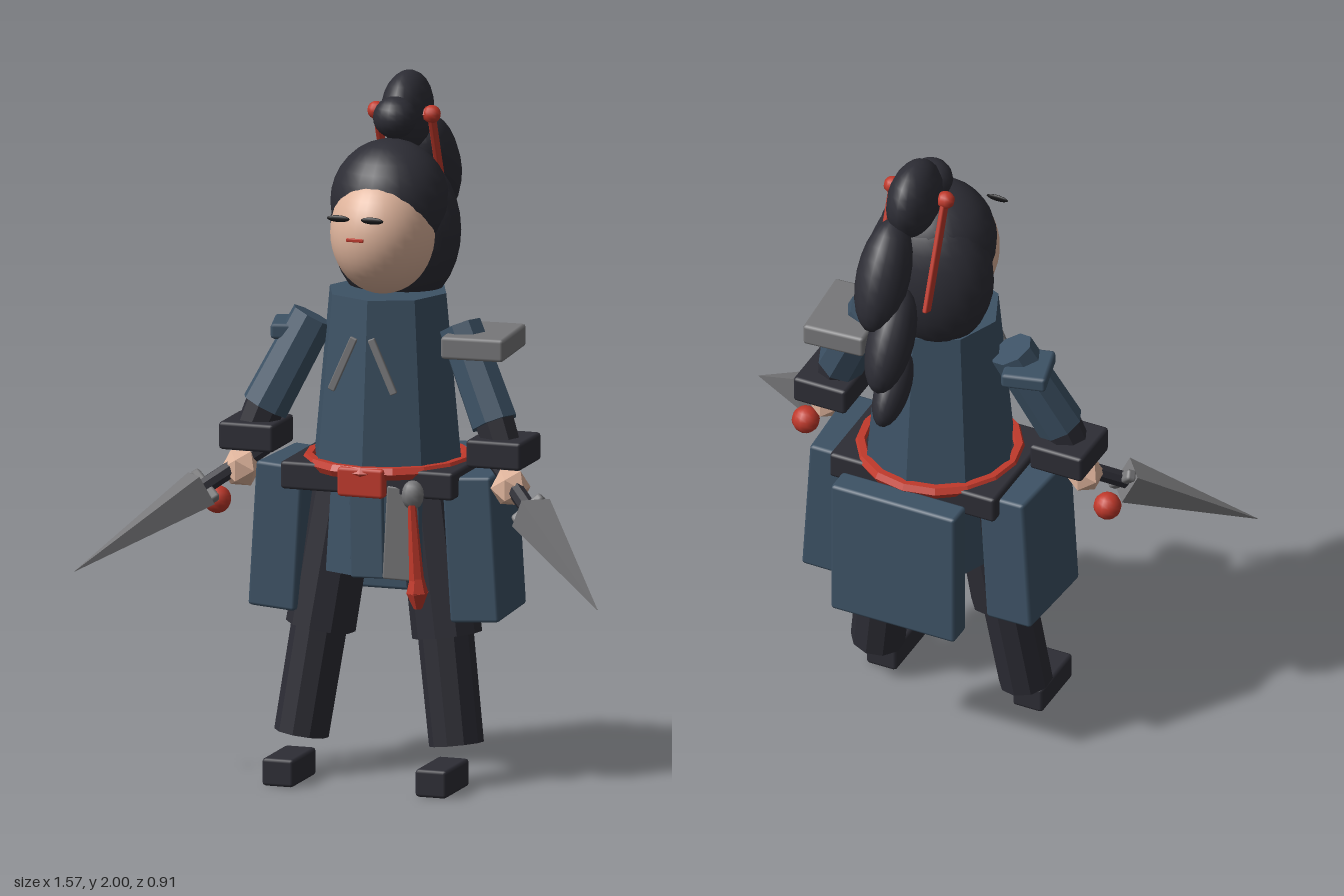
import * as THREE from 'three';
import { RoundedBoxGeometry } from 'three/addons/geometries/RoundedBoxGeometry.js';

const mat = (name, color) => {
  const m = new THREE.MeshStandardMaterial({ color });
  m.name = name;
  return m;
};
const V = (x, y, z) => new THREE.Vector3(x, y, z);
const UP = V(0, 1, 0);

export function createModel() {
  const root = new THREE.Group();
  root.name = 'warrior';
  const dark = mat('charcoal', 0x2d2d35);
  const blue = mat('slateBlue', 0x3d5265);
  const steel = mat('steelGrey', 0x777779);
  const red = mat('red', 0xc0392b);
  const skin = mat('skin', 0xdfb49c);
  const black = mat('eyeBlack', 0x141416);

  const flat = (geo) => {
    const g = geo.index ? geo.toNonIndexed() : geo;
    g.computeVertexNormals();
    return g;
  };
  const add = (name, geo, material, pos, parent = root) => {
    const m = new THREE.Mesh(geo, material);
    m.name = name;
    m.position.copy(pos);
    parent.add(m);
    return m;
  };
  const box = (name, material, size, pos, rot = [0, 0, 0], r = 0.01) => {
    const m = add(name, new RoundedBoxGeometry(...size, 1, Math.min(r, Math.min(...size) * 0.3)), material, pos);
    m.rotation.set(...rot);
    return m;
  };
  const ball = (name, material, radii, pos, w = 20, h = 14) => {
    const m = add(name, new THREE.SphereGeometry(1, w, h), material, pos);
    m.scale.set(...radii);
    return m;
  };
  // Faceted limb from point a to point b
  const limb = (name, material, a, b, ra, rb, sides = 8) => {
    const geo = flat(new THREE.CylinderGeometry(rb, ra, a.distanceTo(b), sides));
    const m = add(name, geo, material, a.clone().add(b).multiplyScalar(0.5));
    m.quaternion.setFromUnitVectors(UP, b.clone().sub(a).normalize());
    return m;
  };

  // Tunic and skirt
  limb('tunic', blue, V(0, 0.9, 0.015), V(0, 1.4, 0.015), 0.222, 0.175);
  limb('skirt', blue, V(0, 0.6, 0), V(0, 0.9, 0), 0.2, 0.18);
  box('skirtFrontPanel', blue, [0.1, 0.26, 0.02], V(0, 0.73, 0.19), [-0.03, 0, 0.03]);
  box('skirtGreyTab', steel, [0.09, 0.27, 0.02], V(0.1, 0.735, 0.19), [0, 0.15, -0.05]);
  box('backPanel', blue, [0.39, 0.43, 0.08], V(0, 0.695, -0.255));
  for (const s of [-1, 1]) {
    box('chestStrip', steel, [0.022, 0.17, 0.012], V(0.005 + s * 0.06, 1.225, 0.245), [0, 0, s * 0.42]);
  }

  // Belt, sash and hanging tassel
  box('belt', dark, [0.52, 0.08, 0.37], V(0, 0.88, 0.015));
  const sash = add('sash', flat(new THREE.TorusGeometry(0.225, 0.02, 6, 16)), red, V(0, 0.912, 0.015));
  sash.rotation.x = Math.PI / 2;
  box('sashKnot', red, [0.14, 0.085, 0.04], V(0, 0.885, 0.235));
  ball('tasselBead', steel, [0.033, 0.042, 0.033], V(0.147, 0.855, 0.22), 10, 8);
  limb('tasselCord', red, V(0.165, 0.6, 0.235), V(0.15, 0.83, 0.235), 0.022, 0.012, 6);
  limb('tasselCollar', red, V(0.166, 0.575, 0.235), V(0.165, 0.62, 0.235), 0.032, 0.02, 6);
  limb('tasselTip', red, V(0.168, 0.53, 0.235), V(0.166, 0.577, 0.235), 0.012, 0.032, 6);

  for (const s of [-1, 1]) {
    const P = (x, y, z) => V(s * x, y, z);
    // Hip guards
    box('hipGuard', blue, [0.145, 0.42, 0.285], P(0.285, 0.69, 0.005), [0, s * 0.06, s * 0.06]);

    // Legs and feet
    limb('thigh', dark, P(0.19, 0.42, 0.05), P(0.13, 0.82, 0.02), 0.1, 0.095, 10);
    limb('shin', dark, P(0.233, 0.115, 0.092), P(0.18, 0.5, 0.055), 0.078, 0.08, 10);
    box('foot', dark, [0.095, 0.08, 0.2], P(0.23, 0.04, 0.205));

    // Arms and hands
    limb('upperArm', blue, P(0.345, 1.05, 0.085), P(0.22, 1.31, 0.025), 0.07, 0.065);
    limb('forearm', dark, P(0.385, 0.95, 0.1), P(0.335, 1.08, 0.08), 0.055, 0.06);
    box('bracer', dark, [0.165, 0.08, 0.18], P(0.372, 0.975, 0.085));
    add('hand', flat(new THREE.IcosahedronGeometry(0.058, 0)), skin, P(0.405, 0.875, 0.12));

    // Daggers
    const tip = P(0.785, 0.615, 0.455);
    const base = P(0.495, 0.825, 0.2);
    const back = base.clone().sub(tip).normalize();
    limb('daggerHandle', dark, base, base.clone().addScaledVector(back, 0.22), 0.025, 0.025);
    limb('daggerBlade', steel, base, tip, 0.066, 0.001, 4);
    const guard = box('daggerGuard', steel, [0.11, 0.03, 0.035], base.clone().addScaledVector(back, 0.012));
    guard.quaternion.setFromUnitVectors(UP, back);
    ball('daggerBead', red, [0.04, 0.04, 0.04], P(0.475, 0.78, 0.122), 12, 10);
  }

  // Mismatched shoulder guards
  box('leftShoulderGuard', steel, [0.185, 0.065, 0.25], V(0.285, 1.268, 0.012), [0, 0.07, 0]);
  box('rightShoulderGuard', blue, [0.13, 0.045, 0.15], V(-0.28, 1.27, 0.01), [0, 0.25, 0]);

  // Head and hair
  ball('face', skin, [0.15, 0.178, 0.17], V(0, 1.575, 0.05), 32, 24);
  ball('hairCap', dark, [0.17, 0.18, 0.168], V(0, 1.65, -0.002), 24, 16);
  ball('backHair', dark, [0.19, 0.24, 0.143], V(0, 1.565, -0.05), 24, 16);
  for (const x of [-0.067, 0.035]) {
    ball('eye', black, [0.034, 0.01, 0.005], V(x, 1.645, 0.248), 12, 8);
  }
  box('mouth', red, [0.052, 0.01, 0.008], V(-0.017, 1.585, 0.248));

  // Topknot and trailing ponytail
  ball('topknot', dark, [0.063, 0.06, 0.06], V(0, 1.885, -0.043), 16, 12);
  const lobes = [
    // x, y, z, width, length, depth, tilt
    [0, 1.885, -0.15, 0.07, 0.115, 0.118, 0],
    [0.025, 1.705, -0.3, 0.075, 0.168, 0.09, 0.5],
    [-0.02, 1.52, -0.345, 0.065, 0.155, 0.078, 0.6],
    [-0.025, 1.352, -0.342, 0.048, 0.115, 0.062, 0.8],
  ];
  for (const [x, y, z, w, l, d, tilt] of lobes) {
    ball('ponytailLobe', dark, [w, l, d], V(x, y, z), 16, 12).rotation.x = tilt;
  }

  // Hair tie and ribbons
  limb('hairTie', red, V(-0.09, 1.885, -0.12), V(0.09, 1.885, -0.12), 0.02, 0.02);
  for (const s of [-1, 1]) {
    ball('hairTieBead', red, [0.027, 0.026, 0.026], V(s * 0.083, 1.885, -0.12), 10, 8);
    box('hairRibbon', red, [0.014, 0.33, 0.038], V(s * 0.082, 1.725, -0.182), [0.37, 0, 0]);
  }
  return root;
}
